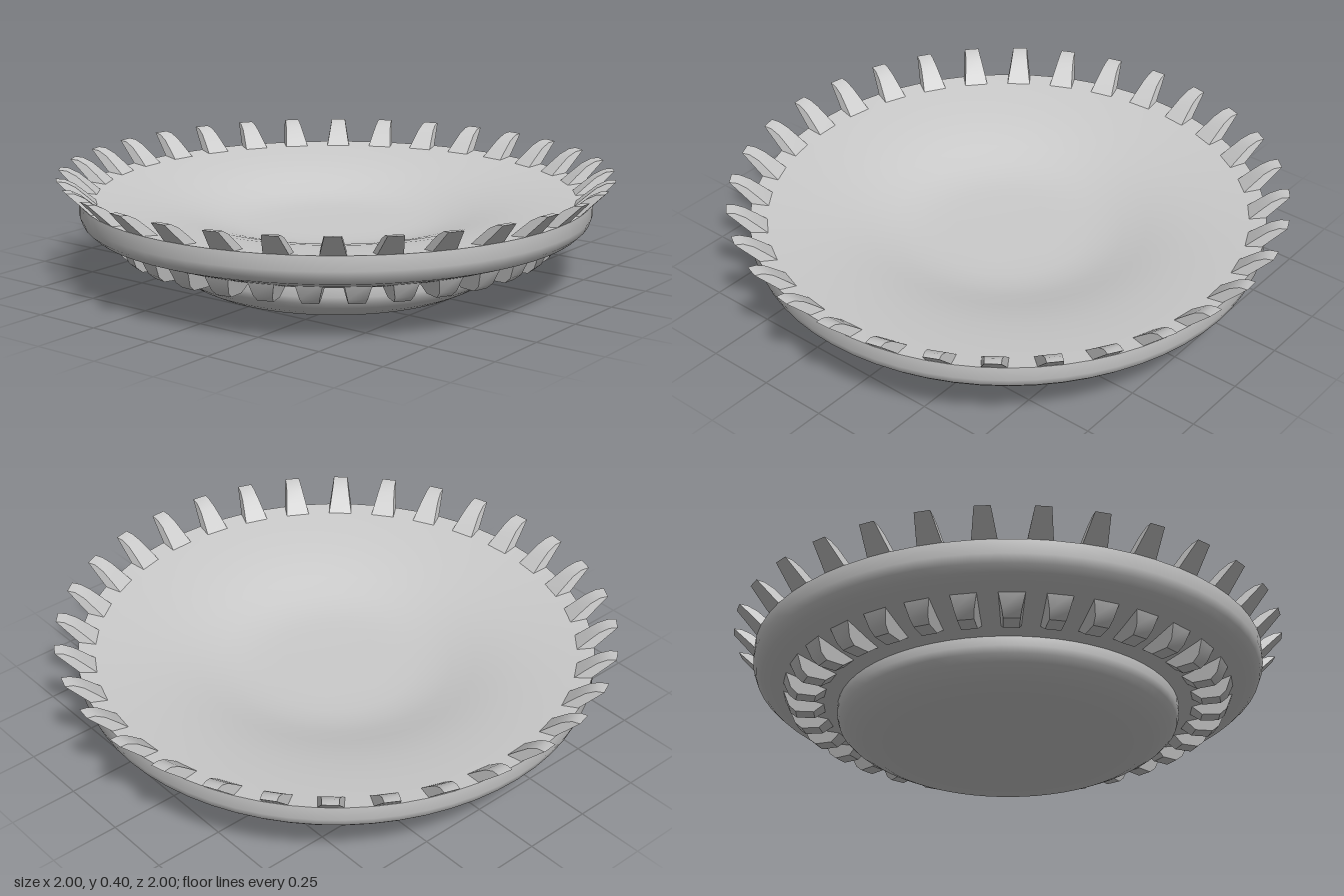
import * as THREE from 'three';
import { toCreasedNormals } from 'three/addons/utils/BufferGeometryUtils.js';

const TEETH = 32;
const STEP = (Math.PI * 2) / TEETH;

const toPoints = (pairs) => pairs.map(([r, y]) => new THREE.Vector2(r, y));

// Tooth: radial profile extruded sideways, its width tapering from base to tip height
function toothGeometry(profile, base, tip) {
  const geo = new THREE.ExtrudeGeometry(
    new THREE.Shape(toPoints(profile)), { depth: 1, bevelEnabled: false });
  const pos = geo.attributes.position;
  for (let i = 0; i < pos.count; i++) {
    const t = (pos.getY(i) - base.y) / (tip.y - base.y);
    const width = THREE.MathUtils.lerp(base.width, tip.width, t);
    pos.setZ(i, (pos.getZ(i) - 0.5) * width);
  }
  return toCreasedNormals(geo, 0.65);
}

// Ring of identical teeth around the vertical axis
function toothRing(name, geo, material, offset) {
  const ring = new THREE.Group();
  ring.name = name;
  for (let i = 0; i < TEETH; i++) {
    const tooth = new THREE.Mesh(geo, material);
    tooth.name = name + 'Tooth';
    tooth.rotation.y = offset + i * STEP;
    ring.add(tooth);
  }
  return ring;
}

export function createModel() {
  const group = new THREE.Group();
  group.name = 'doubleBevelGear';
  const material = new THREE.MeshStandardMaterial({ color: 0xcccccc });

  // Body: flat hub, conical underside, rounded rim and shallow dished top
  const profile = toPoints([
    [0, 0], [0.5, 0], [0.545, 0.022], [0.585, 0.048], [0.607, 0.07], [0.615, 0.095],
    [0.615, 0.128], [0.72, 0.158], [0.8, 0.184], [0.85, 0.202], [0.89, 0.217],
    [0.912, 0.238], [0.923, 0.268], [0.923, 0.32],
    [0.84, 0.311], [0.75, 0.3], [0.66, 0.286], [0.58, 0.27], [0.5, 0.249],
    [0.42, 0.226], [0.35, 0.211], [0.28, 0.204], [0.2, 0.202], [0, 0.202],
  ]);
  const body = new THREE.Mesh(
    toCreasedNormals(new THREE.LatheGeometry(profile, 64), 0.7), material);
  body.name = 'gearBody';
  group.add(body);

  // Upper teeth lean outward over the rim, with rounded inner tips
  const upper = toothGeometry(
    [[0.835, 0.29], [0.89, 0.29], [1, 0.399], [0.97, 0.396], [0.935, 0.378], [0.895, 0.344]],
    { y: 0.29, width: 0.097 }, { y: 0.399, width: 0.055 });
  group.add(toothRing('upperTeeth', upper, material, STEP / 4));

  // Lower teeth project from the conical underside, chamfered at the outer end
  const lower = toothGeometry(
    [[0.66, 0.145], [0.7, 0.115], [0.765, 0.117], [0.79, 0.138], [0.815, 0.2], [0.72, 0.17]],
    { y: 0.2, width: 0.095 }, { y: 0.115, width: 0.055 });
  group.add(toothRing('lowerTeeth', lower, material, -STEP / 4));

  return group;
}
